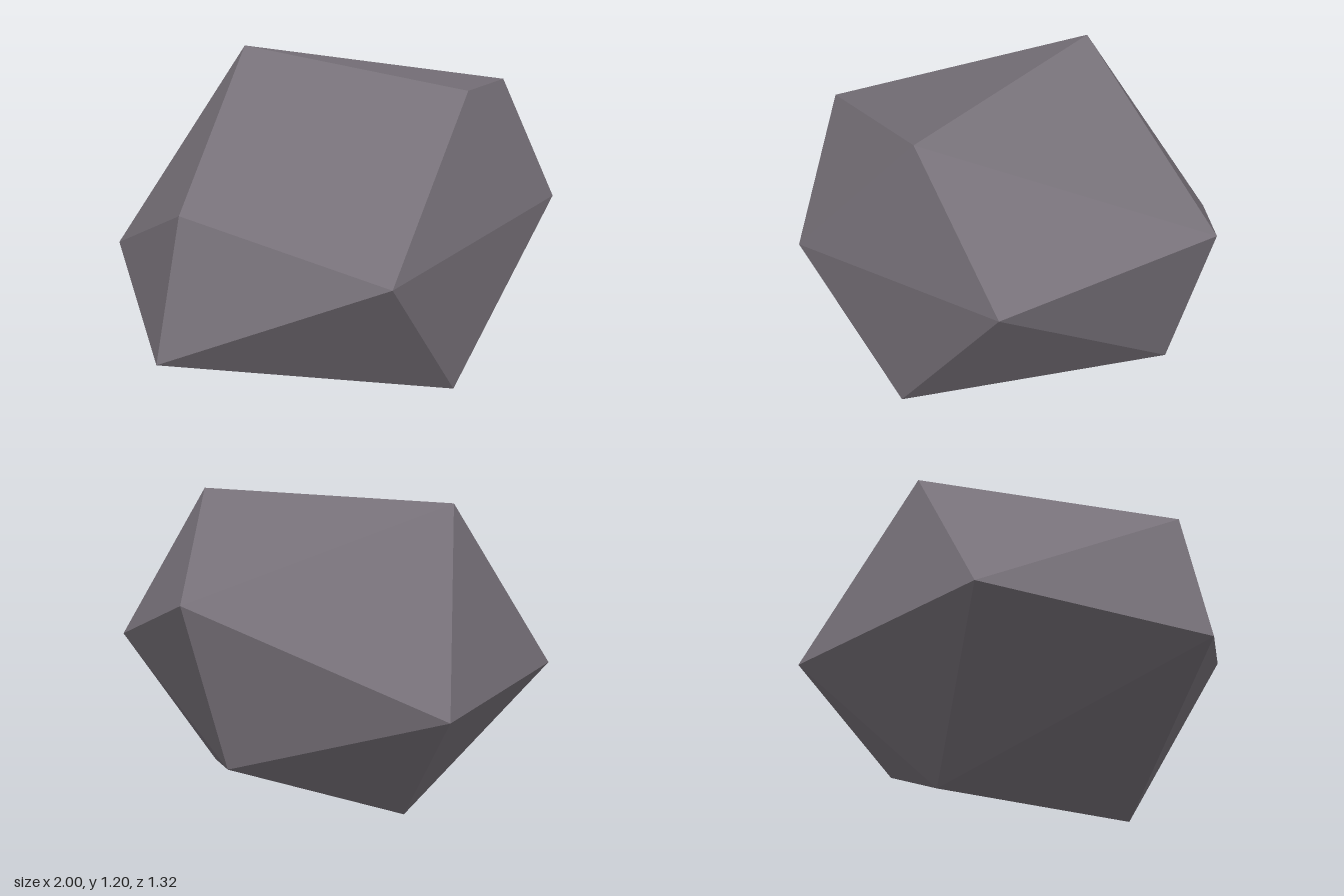
import * as THREE from 'three';

// Twelve corners of the rock, keyed by the sign of x, y, z in a regular icosahedron
const corners = {
  '0,1,1': [0.05, 1.185, 0.565], '0,1,-1': [0.03, 1.2, -0.47], // top ridge
  '0,-1,1': [-0.03, 0.06, 0.585], '0,-1,-1': [0.08, 0, -0.305], // bottom ridge
  '1,1,0': [1, 0.96, 0.1], '1,-1,0': [0.79, 0.335, 0.05], // +x end
  '-1,1,0': [-0.865, 0.84, 0], '-1,-1,0': [-1, 0.33, 0], // -x end
  '1,0,1': [0.5, 0.695, 0.66], '-1,0,1': [-0.48, 0.6, 0.63], // front
  '1,0,-1': [0.48, 0.515, -0.66], '-1,0,-1': [-0.51, 0.5, -0.655], // back
};

const sign = (v) => (Math.abs(v) < 0.1 ? 0 : Math.sign(v));

export function createModel() {
  const stone = new THREE.MeshStandardMaterial({ color: 0x78727a, flatShading: true });
  stone.name = 'stone grey';

  // Turned so the top ridge runs front to back, then each corner is moved into place
  const geometry = new THREE.IcosahedronGeometry(1, 0).rotateY(Math.PI / 2);
  const position = geometry.attributes.position;
  for (let i = 0; i < position.count; i++) {
    const key = [position.getX(i), position.getY(i), position.getZ(i)].map(sign).join(',');
    position.setXYZ(i, ...corners[key]);
  }
  geometry.computeVertexNormals();

  const rock = new THREE.Mesh(geometry, stone);
  rock.name = 'rock';
  const model = new THREE.Group();
  model.name = 'boulder';
  model.add(rock);
  return model;
}
